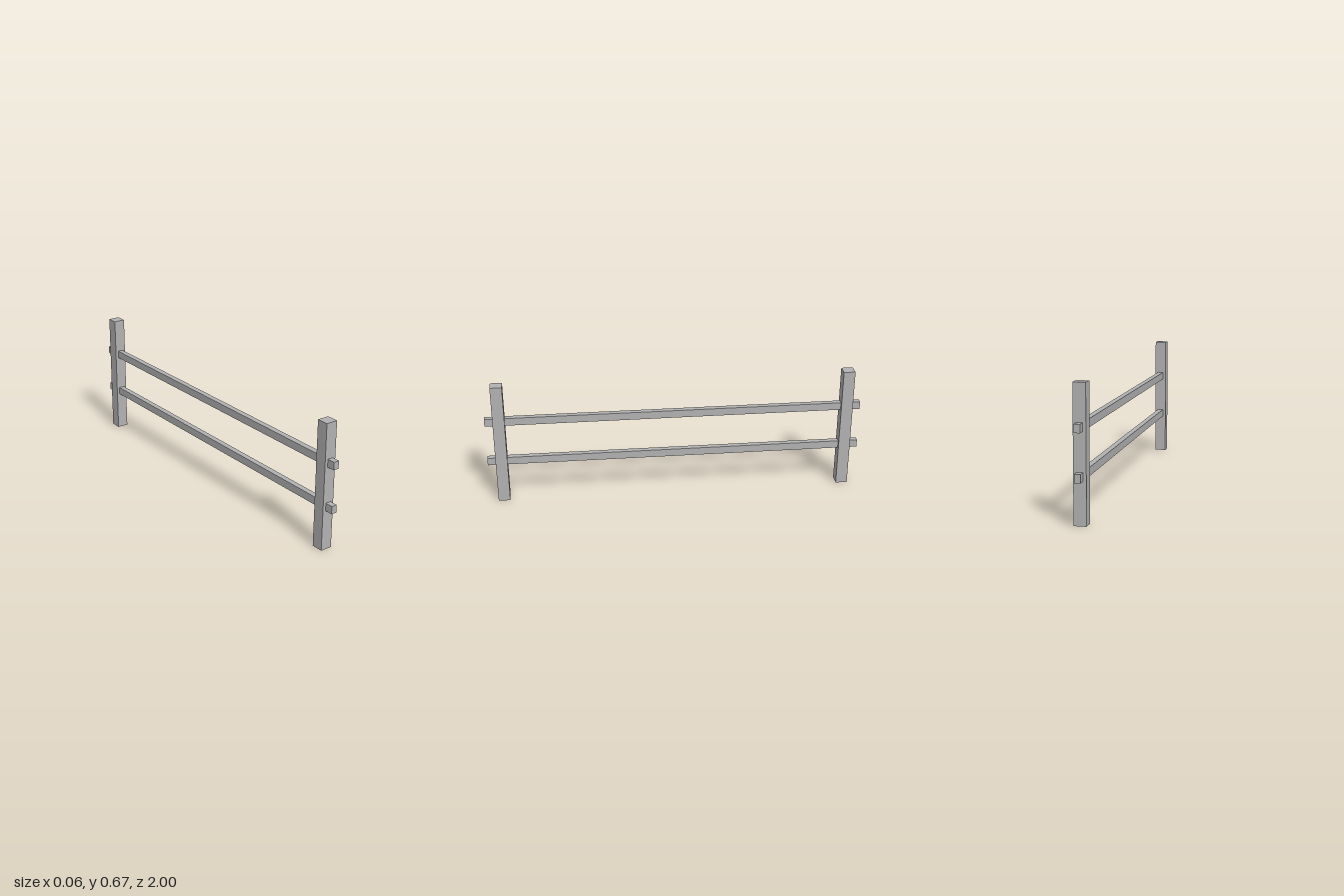
import * as THREE from 'three';

const POST = { width: 0.062, height: 0.667, z: 0.926 };
const RAIL = { width: 0.03, height: 0.041, length: 2 };

export function createModel() {
  const fence = new THREE.Group();
  fence.name = 'fence';
  const grey = new THREE.MeshStandardMaterial({ color: 0xb2b2b2, side: THREE.DoubleSide });
  grey.name = 'plain grey';

  // Square posts, open at the bottom: drop the box's -y face
  const postGeometry = new THREE.BoxGeometry(POST.width, POST.height, POST.width);
  const index = Array.from(postGeometry.index.array);
  index.splice(18, 6);
  postGeometry.setIndex(index);
  postGeometry.clearGroups();
  for (const [name, side] of [['frontPost', 1], ['backPost', -1]]) {
    const post = new THREE.Mesh(postGeometry, grey);
    post.name = name;
    post.position.set(0, POST.height / 2, side * POST.z);
    fence.add(post);
  }

  // Two rails running through both posts
  const railGeometry = new THREE.BoxGeometry(RAIL.width, RAIL.height, RAIL.length);
  for (const [name, y] of [['lowerRail', 0.232], ['upperRail', 0.462]]) {
    const rail = new THREE.Mesh(railGeometry, grey);
    rail.name = name;
    rail.position.y = y;
    fence.add(rail);
  }
  return fence;
}
